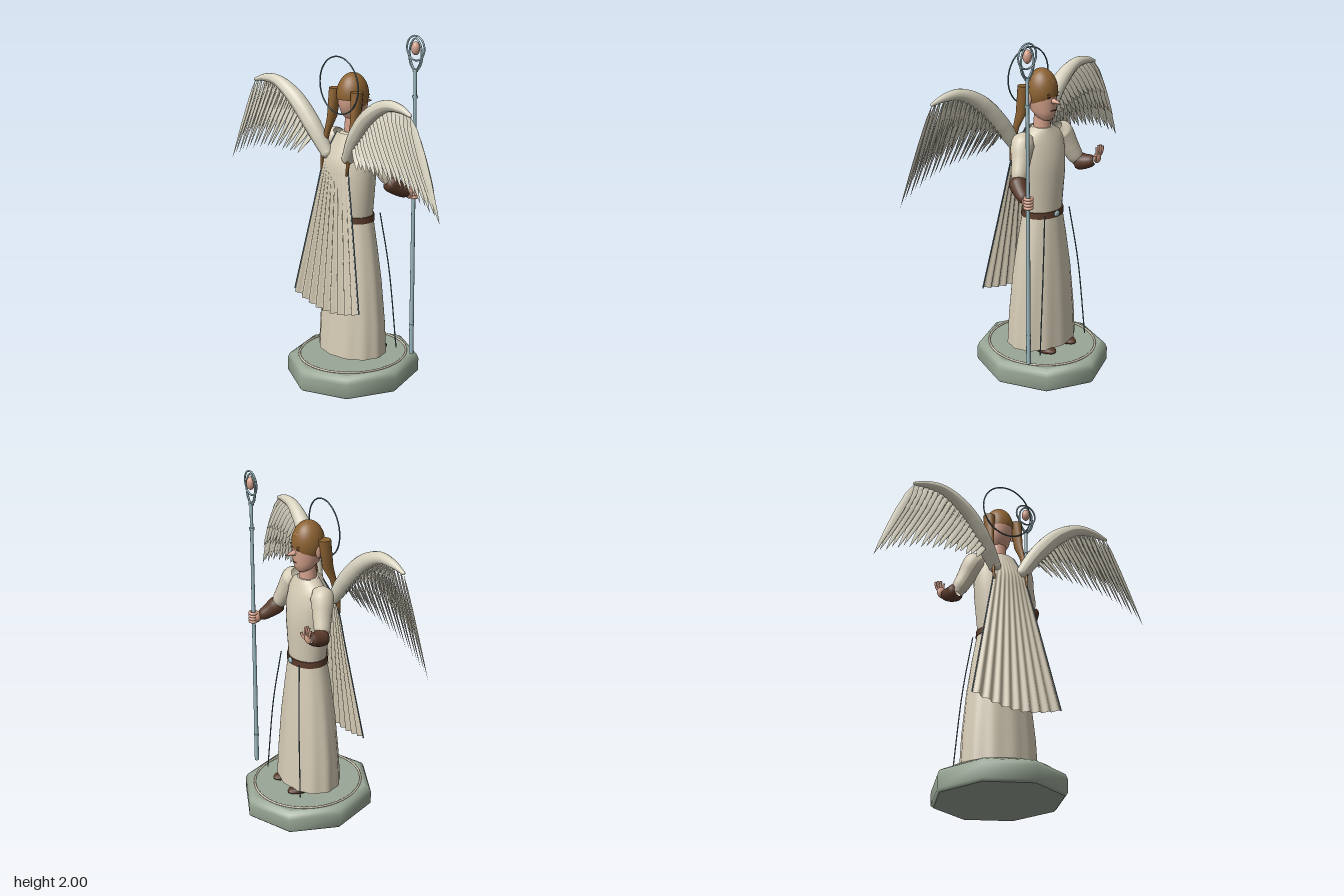
import * as THREE from 'three';

const mat = (name, color, side = THREE.FrontSide) => {
  const m = new THREE.MeshStandardMaterial({ color, side });
  m.name = name;
  return m;
};
const V = (x, y, z) => new THREE.Vector3(x, y, z);

// Closed body from elliptical rings [y, rx, rz, zCentre, xCentre], listed upwards
function loft(rings, n = 32, fold = () => 0) {
  const pos = [], idx = [];
  const addRing = ([y, rx, rz, zc = 0, xc = 0]) => {
    for (let j = 0; j < n; j++) {
      const a = (j / n) * Math.PI * 2, k = 1 + fold(a, y);
      pos.push(xc + Math.sin(a) * rx * k, y, zc + Math.cos(a) * rz * k);
    }
  };
  rings.forEach(addRing);
  for (let i = 0; i < rings.length - 1; i++) for (let j = 0; j < n; j++) {
    const a = i * n + j, b = i * n + (j + 1) % n;
    idx.push(a, b, b + n, a, b + n, a + n);
  }
  [rings[0], rings[rings.length - 1]].forEach((r, top) => {
    const s = pos.length / 3;
    addRing(r);
    pos.push(r[4] || 0, r[0], r[3] || 0);
    for (let j = 0; j < n; j++) {
      const a = s + j, b = s + (j + 1) % n;
      idx.push(s + n, ...(top ? [a, b] : [b, a]));
    }
  });
  const g = new THREE.BufferGeometry();
  g.setAttribute('position', new THREE.Float32BufferAttribute(pos, 3));
  g.setIndex(idx);
  g.computeVertexNormals();
  return g;
}

// Tube whose radius follows a list of values from start to end
function taperTube(points, radii, segs = 32, sides = 14) {
  const curve = new THREE.CatmullRomCurve3(points);
  const g = new THREE.TubeGeometry(curve, segs, 1, sides);
  const p = g.attributes.position, v = V(0, 0, 0);
  for (let i = 0; i <= segs; i++) {
    const c = curve.getPointAt(i / segs), f = (i / segs) * (radii.length - 1);
    const k = Math.min(Math.floor(f), radii.length - 2);
    const r = THREE.MathUtils.lerp(radii[k], radii[k + 1], f - k);
    for (let j = 0; j <= sides; j++) {
      const q = i * (sides + 1) + j;
      v.fromBufferAttribute(p, q).sub(c).multiplyScalar(r).add(c);
      p.setXYZ(q, v.x, v.y, v.z);
    }
  }
  g.computeVertexNormals();
  return g;
}

export function createModel() {
  const model = new THREE.Group();
  model.name = 'wingedFigure';
  const cloth = mat('cream cloth', 0xd6ccb6, THREE.DoubleSide);
  const plume = mat('feather', 0xd8d3c0);
  const skin = mat('skin', 0xd3a08a);
  const hair = mat('hair', 0x8c6232);
  const leather = mat('leather', 0x593a2a);
  const stone = mat('stone', 0x9aa897);
  const metal = mat('pale metal', 0x9cbac0);
  const cord = mat('cord', 0x5c7680);
  const dark = mat('dark features', 0x4a3328);

  const add = (name, geo, m, parent = model) => {
    const mesh = new THREE.Mesh(geo, m);
    mesh.name = name;
    parent.add(mesh);
    return mesh;
  };
  const ball = (name, m, [x, y, z], [sx, sy, sz], parent) => {
    const b = add(name, new THREE.SphereGeometry(1, 20, 14), m, parent);
    b.position.set(x, y, z);
    b.scale.set(sx, sy, sz);
    return b;
  };
  const rod = (name, m, points, r, parent) => add(name, taperTube(points, [r, r], 24, 8), m, parent);

  // Octagonal plinth with an inlaid ring
  add('base', loft([[0, 0.35, 0.38], [0.015, 0.364, 0.396], [0.09, 0.365, 0.398], [0.118, 0.355, 0.385], [0.132, 0.33, 0.36]], 8), stone);
  const inlay = add('baseRing', new THREE.TorusGeometry(0.31, 0.006, 8, 64), cloth);
  inlay.rotation.x = Math.PI / 2;
  inlay.scale.set(0.96, 1.03, 1);
  inlay.position.y = 0.136;

  // Robe
  add('skirt', loft([[0.165, 0.22, 0.17, 0.005], [0.35, 0.212, 0.16, 0.004], [0.6, 0.186, 0.143, 0.002], [0.8, 0.154, 0.122, 0], [0.96, 0.122, 0.104, -0.003]],
    72, (a, y) => 0.022 * Math.cos(a * 12) * Math.max(0, 1 - y)), cloth);
  add('torso', loft([[0.96, 0.118, 0.1, -0.003], [1.08, 0.132, 0.109], [1.2, 0.145, 0.114], [1.3, 0.15, 0.108], [1.38, 0.143, 0.086], [1.42, 0.12, 0.069], [1.455, 0.062, 0.056]]), cloth);
  add('belt', loft([[0.946, 0.13, 0.111, -0.003], [0.982, 0.127, 0.109, -0.003]]), leather);
  ball('buckle', metal, [0, 0.965, -0.114], [0.02, 0.017, 0.009]);

  // Cape: a pleated sheet falling from the shoulders
  const cape = new THREE.PlaneGeometry(1, 1, 96, 24), cp = cape.attributes.position;
  const capePoint = (u, v) => V(
    2 * u * (0.067 + 0.21 * v),
    1.45 - v * (0.95 + 0.055 * Math.cos(Math.PI * u)),
    0.08 + 0.055 * Math.min(1, v / 0.15) + 0.08 * v + 0.011 * v * Math.cos(u * 18 * Math.PI) - 0.09 * u * u * (1 - v));
  for (let i = 0; i < cp.count; i++) {
    const p = capePoint(cp.getX(i), 0.5 - cp.getY(i));
    cp.setXYZ(i, p.x, p.y, p.z);
  }
  cape.computeVertexNormals();
  add('cape', cape, cloth);

  // Head
  const head = new THREE.Group();
  head.name = 'head';
  model.add(head);
  add('neck', new THREE.CylinderGeometry(0.043, 0.05, 0.13, 24), skin, head).position.set(0, 1.485, 0);
  add('face', loft([[1.497, 0.025, 0.025, -0.035], [1.515, 0.05, 0.05, -0.025], [1.55, 0.066, 0.075, -0.01], [1.61, 0.077, 0.086], [1.67, 0.08, 0.087], [1.72, 0.07, 0.078]]), skin, head);
  const cap = add('hairCap', new THREE.SphereGeometry(1, 32, 16, 0, Math.PI * 2, 0, Math.PI * 0.54), hair, head);
  cap.scale.set(0.086, 0.125, 0.093);
  cap.position.set(0, 1.655, 0.002);
  const back = add('hairBack', new THREE.SphereGeometry(1, 32, 20, Math.PI, Math.PI, 0, Math.PI), hair, head);
  back.scale.set(0.086, 0.118, 0.092);
  back.position.set(0, 1.655, 0.004);
  hair.side = THREE.DoubleSide;
  const nose = add('nose', new THREE.ConeGeometry(0.02, 0.075, 14), skin, head);
  nose.rotation.x = -Math.PI / 2 - 0.1;
  nose.position.set(0, 1.608, -0.108);
  ball('mouth', dark, [0, 1.557, -0.083], [0.022, 0.004, 0.005], head);
  add('halo', new THREE.TorusGeometry(0.157, 0.004, 8, 64), cord, head).position.set(0, 1.72, 0.103);

  // Feather: a flattened leaf of unit length pointing down from its root
  const feather = new THREE.LatheGeometry(
    [[0, -1], [0.35, -0.88], [0.8, -0.62], [1, -0.38], [0.8, -0.14], [0, 0]].map(([x, y]) => new THREE.Vector2(x, y)), 10);
  const layFeather = (name, root, tip, width, roll, parent) => {
    const along = root.clone().sub(tip), len = along.length();
    along.normalize();
    const side = V(0, 0, 1).cross(along).multiplyScalar(-1).normalize().applyAxisAngle(along, roll);
    const normal = side.clone().cross(along);
    const f = add(name, feather, plume, parent);
    f.quaternion.setFromRotationMatrix(new THREE.Matrix4().makeBasis(side, along, normal));
    f.position.copy(root);
    f.scale.set(width, len, 0.005);
  };

  // Mirrored parts
  for (const s of [1, -1]) {
    const label = s > 0 ? 'left' : 'right';
    ball(label + 'Shoe', leather, [s * 0.085, 0.153, -0.08], [0.047, 0.026, 0.105]);
    ball(label + 'Ear', skin, [s * 0.083, 1.62, 0.018], [0.01, 0.034, 0.017], head);
    ball(label + 'Eye', dark, [s * 0.03, 1.634, -0.081], [0.013, 0.005, 0.005], head);
    ball(label + 'Brow', hair, [s * 0.031, 1.652, -0.082], [0.018, 0.004, 0.005], head);
    add(label + 'HairLock', loft([[1.24, 0.005, 0.008, 0.14, s * 0.105], [1.32, 0.008, 0.014, 0.13, s * 0.108], [1.45, 0.014, 0.02, 0.1, s * 0.1],
      [1.53, 0.02, 0.034, 0.068, s * 0.096], [1.69, 0.034, 0.036, 0.05, s * 0.09]], 12), hair, head);
    add(label + 'Sleeve', taperTube([V(s * 0.115, 1.425, 0), V(s * 0.155, 1.385, -0.003), V(s * 0.2, 1.29, -0.03), V(s * 0.245, 1.195, -0.055)],
      [0.035, 0.066, 0.062, 0.055, 0.05, 0.046, 0.03], 20, 20), cloth);
    rod(label + 'Cord', cord, [V(s * 0.1, 0.98, -0.115), V(s * 0.145, 0.65, -0.145), V(s * 0.19, 0.17, -0.165)], 0.0035);
    rod(label + 'CapeTrim', cord, [0, 0.1, 0.2, 0.4, 0.6, 0.8, 1].map(v => capePoint(s * 0.5, v)), 0.004);

    // Wing: thick leading edge and three layers of feathers
    const wing = new THREE.Group();
    wing.name = label + 'Wing';
    model.add(wing);
    const path = [V(s * 0.09, 1.335, 0.115), V(s * 0.18, 1.47, 0.135), V(s * 0.31, 1.612, 0.155),
      V(s * 0.45, 1.69, 0.168), V(s * 0.56, 1.692, 0.175), V(s * 0.635, 1.672, 0.182)];
    add('leadingEdge', taperTube(path, [0.036, 0.045, 0.05, 0.05, 0.047, 0.04, 0.031, 0.023, 0.01], 40), plume, wing);
    ball('edgeRoot', plume, path[0].toArray(), [0.036, 0.036, 0.036], wing);
    ball('edgeTip', plume, path[5].toArray(), [0.01, 0.01, 0.01], wing);
    const curve = new THREE.CatmullRomCurve3(path);
    for (const [name, n, reach, z, width, t1] of [['primary', 19, 1, 0.195, 0.024, 1], ['secondary', 17, 0.72, 0.165, 0.023, 0.97], ['covert', 15, 0.42, 0.125, 0.024, 0.86]]) {
      for (let i = 0; i < n; i++) {
        const u = i / (n - 1);
        const root = curve.getPointAt(0.2 + (t1 - 0.2) * u);
        const end = V(s * (0.25 + 0.618 * u), 1.31 - 0.02 * u - 0.13 * u ** 3 + (i % 2) * 0.012, z);
        const tip = root.clone().lerp(end, reach);
        tip.z = z;
        layFeather(name + 'Feather', root, tip, width, s * 0.45, wing);
      }
    }
  }

  // Forearms and hands
  const bracer = [0.03, 0.05, 0.05, 0.046, 0.042, 0.038, 0.034, 0.02];
  add('leftBracer', taperTube([V(0.238, 1.215, -0.035), V(0.265, 1.165, -0.09), V(0.288, 1.125, -0.15)], bracer, 16, 18), leather);
  add('rightBracer', taperTube([V(-0.238, 1.205, -0.035), V(-0.255, 1.205, -0.09), V(-0.272, 1.222, -0.15)], bracer, 16, 18), leather);
  ball('leftPalm', skin, [0.29, 1.128, -0.163], [0.024, 0.034, 0.03]);
  for (let i = 0; i < 4; i++) {
    const finger = add('leftFinger', new THREE.TorusGeometry(0.02, 0.0085, 8, 20), skin);
    finger.rotation.x = Math.PI / 2;
    finger.position.set(0.299, 1.103 + i * 0.017, -0.183);
    rod('rightFinger', skin, [V(-0.262 - i * 0.011, 1.245, -0.168), V(-0.264 - i * 0.015, 1.275, -0.174),
      V(-0.264 - i * 0.017, 1.318 - Math.abs(i - 1.4) * 0.01, -0.17)], 0.0075);
  }
  ball('rightPalm', skin, [-0.278, 1.24, -0.165], [0.028, 0.034, 0.016]);
  rod('rightThumb', skin, [V(-0.26, 1.225, -0.165), V(-0.243, 1.24, -0.178), V(-0.237, 1.265, -0.183)], 0.008);

  // Staff with a ringed head and hanging orb
  const staff = new THREE.Group();
  staff.name = 'staff';
  staff.position.set(0.3, 0, -0.18);
  model.add(staff);
  add('shaft', new THREE.CylinderGeometry(0.009, 0.013, 1.645, 16), metal, staff).position.y = 0.988;
  for (const y of [0.34, 1.665, 1.81]) add('collar', new THREE.CylinderGeometry(0.015, 0.015, 0.014, 16), metal, staff).position.y = y;
  add('outerRing', new THREE.TorusGeometry(0.066, 0.005, 8, 48), metal, staff).position.y = 1.929;
  const loop = [[0, 1.81], [0.028, 1.84], [0.045, 1.9], [0.035, 1.95], [0, 1.982], [-0.035, 1.95], [-0.045, 1.9], [-0.028, 1.84]];
  add('innerLoop', new THREE.TubeGeometry(new THREE.CatmullRomCurve3(loop.map(([x, y]) => V(x, y, 0)), true), 48, 0.005, 8, true), metal, staff);
  for (const s of [1, -1]) rod('ringBrace', metal, [V(0, 1.8, 0), V(s * 0.035, 1.835, 0), V(s * 0.052, 1.888, 0)], 0.005, staff);
  ball('orb', skin, [0, 1.928, 0], [0.024, 0.037, 0.024], staff);

  return model;
}
